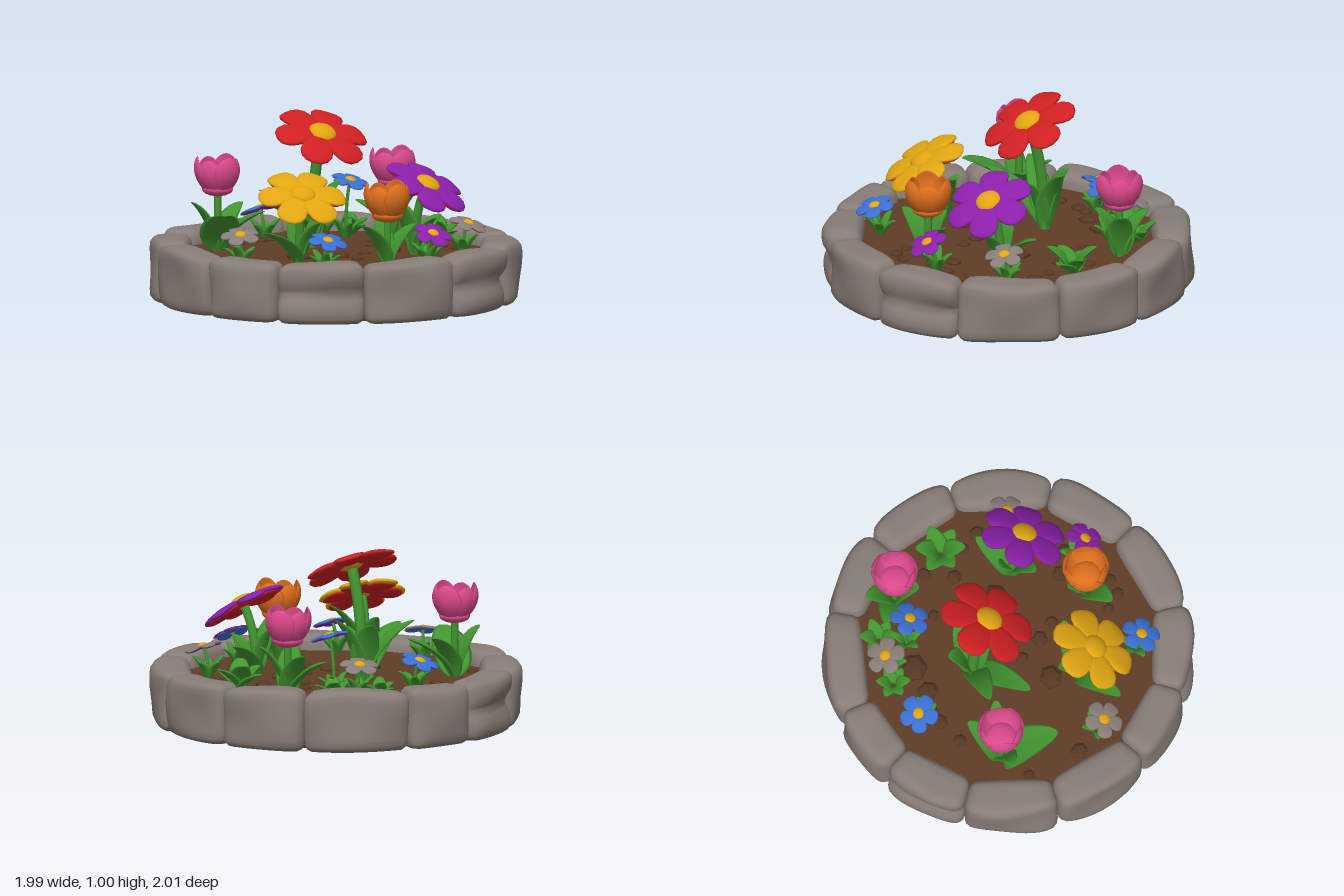
import * as THREE from 'three';
import { mergeVertices, mergeGeometries } from 'three/addons/utils/BufferGeometryUtils.js';

const mat = (name, color) => {
  const m = new THREE.MeshStandardMaterial({ color });
  m.name = name;
  return m;
};
const M = {
  stone: mat('stone grey', 0x887d77),
  soil: mat('soil brown', 0x5f3d27),
  clod: mat('clod brown', 0x563823),
  green: mat('leaf green', 0x429630),
  red: mat('petal red', 0xcf2023),
  yellow: mat('petal yellow', 0xe0a512),
  purple: mat('petal purple', 0x8c20aa),
  blue: mat('petal blue', 0x3a6fd2),
  pink: mat('tulip pink', 0xdc4a8c),
  orange: mat('tulip orange', 0xe2701e),
};
const RAD = Math.PI / 180;
const SOIL = 0.26;

function add(parent, name, geometry, material) {
  const mesh = new THREE.Mesh(geometry, material);
  mesh.name = name;
  parent.add(mesh);
  return mesh;
}

// Moves every vertex of a shape by a rule and refreshes its smooth normals
function warp(geometry, rule) {
  geometry.deleteAttribute('uv');
  geometry.deleteAttribute('normal');
  const g = mergeVertices(geometry);
  const pos = g.attributes.position, p = new THREE.Vector3();
  for (let i = 0; i < pos.count; i++) {
    p.fromBufferAttribute(pos, i);
    rule(p);
    pos.setXYZ(i, p.x, p.y, p.z);
  }
  g.computeVertexNormals();
  return g;
}

// Rounded block bent around the rim; angles run from the front towards +x
function stoneGeometry(from, to, seed, pinched) {
  const W = (to - from) * RAD * 0.945, H = 0.33, D = 0.21, r = 0.05;
  const mid = (from + to) / 2 * RAD;
  const half = new THREE.Vector3(W / 2 - r, H / 2 - r, D / 2 - r);
  const low = half.clone().negate(), core = new THREE.Vector3();
  return warp(new THREE.BoxGeometry(W, H, D, 14, 10, 7), p => {
    core.copy(p).clamp(low, half);
    p.sub(core).setLength(r).add(core);
    const f = p.z / D + 0.5, a = p.x / 0.945, end = Math.abs(2 * p.x / W);
    const wave = 0.012 * Math.sin(p.x * 11 + seed * 2.3) * Math.cos(p.y * 13 + seed);
    const pinch = pinched ? 0.035 * Math.exp(-((p.y / 0.045) ** 2)) : 0;
    const inner = (0.768 + 0.09 * p.y) / Math.cos(a);
    const radius = inner * (1 - f) + (0.995 + wave - pinch - 0.022 * end ** 4) * f;
    const y = 0.172 + p.y + (p.y > 0 ? 0.008 * Math.sin(p.x * 9 + seed * 1.7) - 0.012 * end ** 4 : 0);
    p.set(Math.sin(mid + a) * radius, y, Math.cos(mid + a) * radius);
  });
}

// Fleshy blade that rises from the base and arcs outward
function leafGeometry(base, angle, reach, height, width) {
  const ox = Math.sin(angle * RAD), oz = Math.cos(angle * RAD);
  return warp(new THREE.SphereGeometry(1, 10, 12), p => {
    const v = (p.y + 1) / 2, side = p.x * width * 0.55 * (1.15 - 0.4 * v);
    const fold = Math.abs(side), thick = p.z * 0.012;
    const out = 0.015 + reach * Math.pow(v, 1.5) - fold * 0.25 + thick * 0.75;
    const y = height * (1.25 * v - 0.25 * v ** 3) + fold * 0.15 - thick * 0.6;
    p.set(base[0] + ox * out + oz * side, SOIL - 0.01 + y, base[1] + oz * out - ox * side);
  });
}

function addLeaves(parent, base, leaves) {
  add(parent, 'leaves', mergeGeometries(leaves.map(l => leafGeometry(base, ...l))), M.green);
}

function addStem(parent, base, head, radius) {
  const curve = new THREE.QuadraticBezierCurve3(
    new THREE.Vector3(base[0], SOIL - 0.02, base[1]),
    new THREE.Vector3(base[0], (SOIL + head[1]) / 2 + 0.05, base[1]),
    new THREE.Vector3(...head));
  add(parent, 'stem', new THREE.TubeGeometry(curve, 8, radius, 8), M.green);
}

// Puffed, blunt petals arranged in a ring
function petalRing(count, size, turn) {
  const petals = [], width = count === 6 ? 0.37 : 0.43;
  for (let k = 0; k < count; k++) {
    const g = warp(new THREE.SphereGeometry(1, 16, 10), p => {
      const blunt = Math.sign(p.x) * Math.pow(Math.abs(p.x), 0.85);
      const x = 0.56 + 0.45 * blunt;
      const z = Math.sign(p.z) * Math.pow(Math.abs(p.z), 0.85) * width * (0.88 + 0.24 * blunt);
      p.set(x * size, (p.y * 0.095 + 0.06 - 0.1 * x * x + 0.2 * z * z) * size, z * size);
    });
    petals.push(g.rotateY(turn * RAD + k / count * Math.PI * 2));
  }
  return mergeGeometries(petals);
}

function addBlossom(parent, head, normal, count, size, colour, under, turn) {
  const blossom = new THREE.Group();
  blossom.name = 'blossom';
  const ring = petalRing(count, size, turn);
  add(blossom, 'petals', ring, M[colour]);
  if (under) {
    const lower = add(blossom, 'underPetals', ring, M[under]);
    lower.scale.set(0.92, 0.8, 0.92);
    lower.position.y = -0.045 * size;
  }
  const centre = add(blossom, 'flowerCentre', new THREE.SphereGeometry(size * 0.3, 16, 10), M.yellow);
  centre.scale.y = 0.5;
  centre.position.y = 0.08 * size;
  blossom.position.set(...head);
  blossom.quaternion.setFromUnitVectors(new THREE.Vector3(0, 1, 0), new THREE.Vector3(...normal).normalize());
  parent.add(blossom);
}

// Open cup of six thick overlapping petals
function addTulipCup(parent, head, colour) {
  const parts = [];
  for (let k = 0; k < 6; k++) {
    const grow = k % 2 ? 0.95 : 1.02;
    parts.push(warp(new THREE.SphereGeometry(1, 14, 12), p => {
      const v = (p.y + 1) / 2, a = k * Math.PI / 3 + p.x * 0.74;
      const r = 0.118 * grow * Math.pow(Math.sin(Math.PI * (0.06 + 0.62 * v)), 0.7) + p.z * 0.01;
      p.set(Math.sin(a) * r, -0.1 + 0.21 * v * grow, Math.cos(a) * r);
    }));
  }
  parts.push(warp(new THREE.SphereGeometry(1, 16, 10), p => p.set(p.x * 0.085, p.y * 0.04 - 0.065, p.z * 0.085)));
  add(parent, 'tulipCup', mergeGeometries(parts), M[colour]).position.set(...head);
}

export function createModel() {
  const model = new THREE.Group();
  model.name = 'flowerBed';

  // Ring of stones
  const ends = [-23, 9, 39, 73, 103, 132, 167, 191, 219, 250, 282, 308, 337];
  const ring = new THREE.Group();
  ring.name = 'stoneRing';
  for (let i = 0; i < 12; i++)
    add(ring, 'rimStone', stoneGeometry(ends[i], ends[i + 1], i, [1, 7, 11].includes(i)), M.stone);
  model.add(ring);

  // Soil
  add(model, 'soil', new THREE.CylinderGeometry(0.89, 0.775, SOIL, 48), M.soil).position.y = SOIL / 2;

  // Faceted clods: x, z, radius
  const clods = [[-.13, -.55, .045], [.05, -.5, .06], [.2, -.48, .08], [-.28, -.53, .04], [.38, -.22, .035],
    [.29, -.1, .035], [-.71, -.05, .05], [-.28, .08, .07], [-.1, .02, .04], [.1, .13, .035], [.27, .12, .07],
    [.49, 0, .045], [.59, .14, .035], [.62, .25, .045], [-.07, .16, .05], [-.03, .27, .04], [-.11, .65, .04],
    [-.02, .67, .035], [.4, .57, .04], [.17, .47, .045], [-.66, -.35, .035], [-.15, .56, .035], [.26, .57, .04],
    [-.06, -.55, .035], [.12, .58, .04], [.6, -.12, .04]];
  const profile = [[1, -.2], [1, .25], [.62, .62], [0, .72]].map(q => new THREE.Vector2(...q));
  clods.forEach(([x, z, r], i) => {
    const g = new THREE.LatheGeometry(profile, 6).toNonIndexed();
    g.computeVertexNormals();
    const clod = add(model, 'soilClod', g, M.clod);
    clod.scale.set(r, r * 0.8, r * 0.9);
    clod.rotation.y = i * 1.3;
    clod.position.set(x, SOIL, z);
  });

  // Large daisies; leaves are angle, reach, height, width
  const daisies = [
    { head: [0, .875, -.14], base: [0, -.24], n: [0, .88, .47], size: .262, colour: 'red', turn: -8, stem: .03,
      leaves: [[-70, .36, .28, .14], [-108, .28, .33, .13], [85, .16, .36, .14], [160, .12, .34, .15], [10, .12, .3, .12]] },
    { head: [-.39, .625, .28], base: [-.36, .2], n: [-.14, .86, .46], size: .238, colour: 'yellow', under: 'red', turn: 40, stem: .024,
      leaves: [[-75, .28, .2, .12], [75, .2, .34, .12], [15, .14, .24, .11], [170, .1, .28, .11]] },
    { head: [.35, .635, .36], base: [.33, .27], n: [.2, .85, .46], size: .238, colour: 'purple', under: 'red', turn: 12, stem: .024,
      leaves: [[110, .22, .2, .12], [-80, .16, .34, .12], [20, .14, .22, .11], [190, .08, .27, .11]] },
  ];
  for (const d of daisies) {
    const plant = new THREE.Group();
    plant.name = d.colour + 'Daisy';
    addStem(plant, d.base, d.head, d.stem);
    addBlossom(plant, d.head, d.n, 6, d.size, d.colour, d.under, d.turn);
    addLeaves(plant, d.base, d.leaves);
    model.add(plant);
  }

  // Tulips
  const tulips = [
    { head: [-.49, .66, -.41], colour: 'pink', leaves: [[-25, .3, .24, .2], [-100, .14, .28, .12], [110, .2, .25, .13], [60, .24, .22, .13]] },
    { head: [.58, .63, -.33], colour: 'pink', leaves: [[60, .14, .28, .13], [-50, .12, .27, .14], [-140, .2, .2, .14], [170, .16, .25, .13]] },
    { head: [0, .595, .52], colour: 'orange', leaves: [[-80, .18, .24, .13], [85, .16, .22, .13], [175, .1, .25, .11]] },
  ];
  for (const { head, colour, leaves } of tulips) {
    const plant = new THREE.Group();
    plant.name = colour + 'Tulip';
    const base = [head[0], head[2]];
    addStem(plant, base, [head[0], head[1] - 0.09, head[2]], 0.02);
    addTulipCup(plant, head, colour);
    addLeaves(plant, base, leaves);
    model.add(plant);
  }

  // Small five-petal flowers: head, lean, colour, under colour
  const small = [
    [[-.07, .42, -.65], [-.1, 1, -.35], 'blue', 'purple'], [[.3, .43, -.6], [.1, 1, -.25], 'stone', 'blue'],
    [[.35, .57, -.4], [.1, 1, .3], 'blue', 'purple'], [[-.69, .42, .13], [-.2, 1, .25], 'stone', 'blue'],
    [[-.42, .425, .58], [0, 1, .35], 'blue', 'purple'], [[.2, .425, .66], [0, 1, .55], 'purple', 'blue'],
    [[.58, .42, .42], [.15, 1, .3], 'stone', 'purple'],
  ];
  small.forEach(([head, n, colour, under], i) => {
    const plant = new THREE.Group();
    plant.name = 'smallFlower';
    const base = [head[0] - n[0] * 0.1, head[2] - n[2] * 0.1];
    addStem(plant, base, head, 0.009);
    addBlossom(plant, head, n, 5, 0.106, colour, under, i * 25);
    addLeaves(plant, base, [0, 1, 2, 3, 4].map(k => [k * 72 + i * 30, 0.075, 0.1 + 0.02 * (k % 2), 0.05]));
    model.add(plant);
  });

  // Low leafy tufts
  for (const [x, z, s] of [[.64, .02, 1], [.19, -.63, .65], [.44, -.54, .75]]) {
    const tuft = new THREE.Group();
    tuft.name = 'leafTuft';
    addLeaves(tuft, [x, z], [20, 80, 150, 205, 265, 320].map((a, k) =>
      [a, 0.12 * s, (0.09 + 0.03 * (k % 3)) * s, 0.11 * s]));
    model.add(tuft);
  }
  return model;
}
